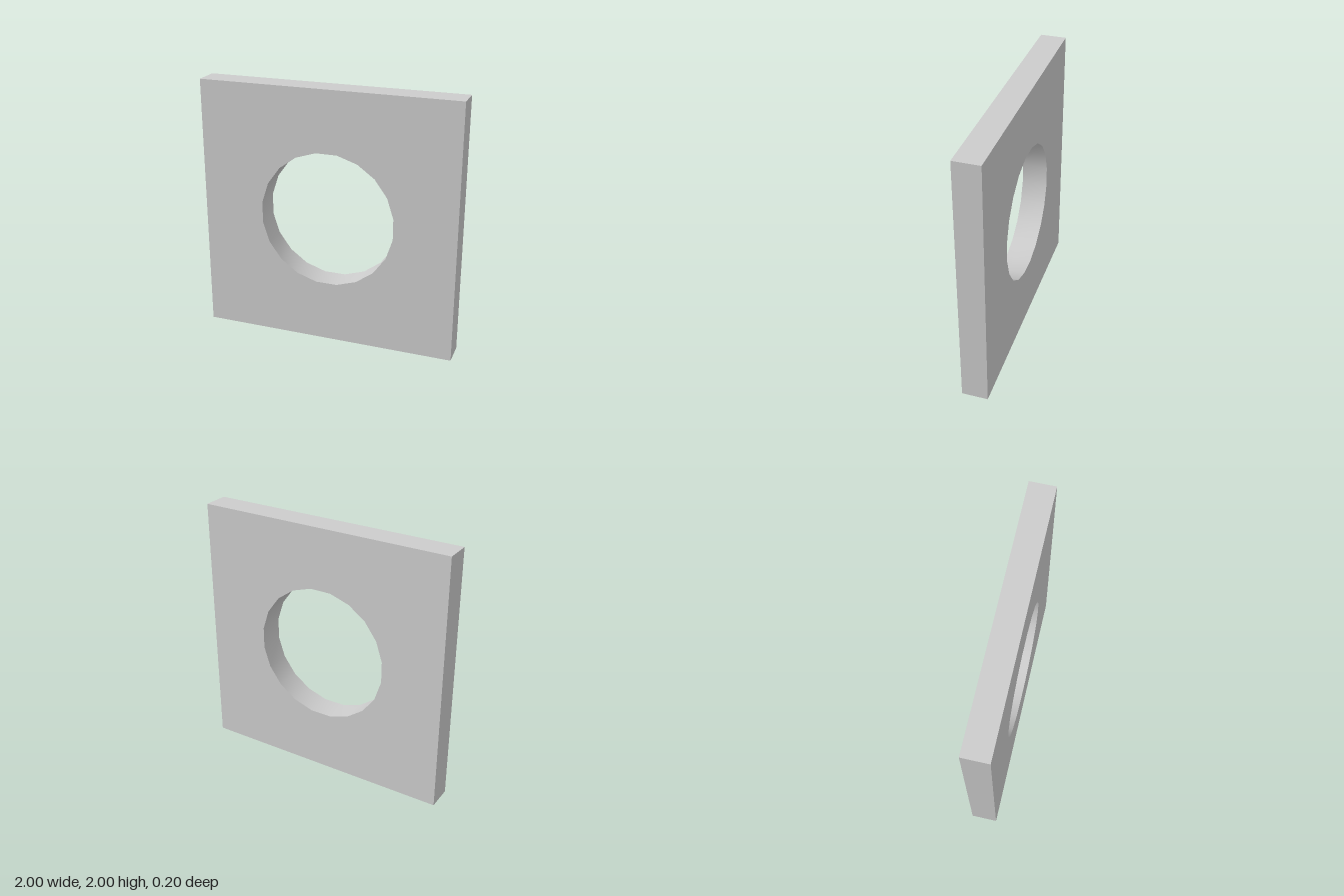
import * as THREE from 'three';
import { toCreasedNormals } from 'three/addons/utils/BufferGeometryUtils.js';

const SIZE = 2, DEPTH = 0.2, HOLE_RADIUS = 0.527, HOLE_SIDES = 20;

export function createModel() {
  const group = new THREE.Group();
  const h = SIZE / 2;

  // Square outline
  const outline = new THREE.Shape([
    new THREE.Vector2(-h, -h),
    new THREE.Vector2(h, -h),
    new THREE.Vector2(h, h),
    new THREE.Vector2(-h, h),
  ]);

  // Twenty-sided round opening, flats facing the four sides
  const rim = [];
  for (let i = 0; i < HOLE_SIDES; i++) {
    const a = ((i + 0.5) / HOLE_SIDES) * Math.PI * 2;
    rim.push(new THREE.Vector2(Math.cos(a) * HOLE_RADIUS, Math.sin(a) * HOLE_RADIUS));
  }
  outline.holes.push(new THREE.Path([...rim, rim[0].clone()]));

  // Panel: smooth inside the opening, sharp at the edges
  const geometry = new THREE.ExtrudeGeometry(outline, { depth: DEPTH, bevelEnabled: false, steps: 1 });
  geometry.translate(0, h, -DEPTH / 2);
  const panel = new THREE.Mesh(
    toCreasedNormals(geometry, Math.PI / 6),
    new THREE.MeshStandardMaterial({ color: 0xcccccc })
  );
  panel.name = 'panelWithRoundOpening';
  group.add(panel);
  return group;
}
